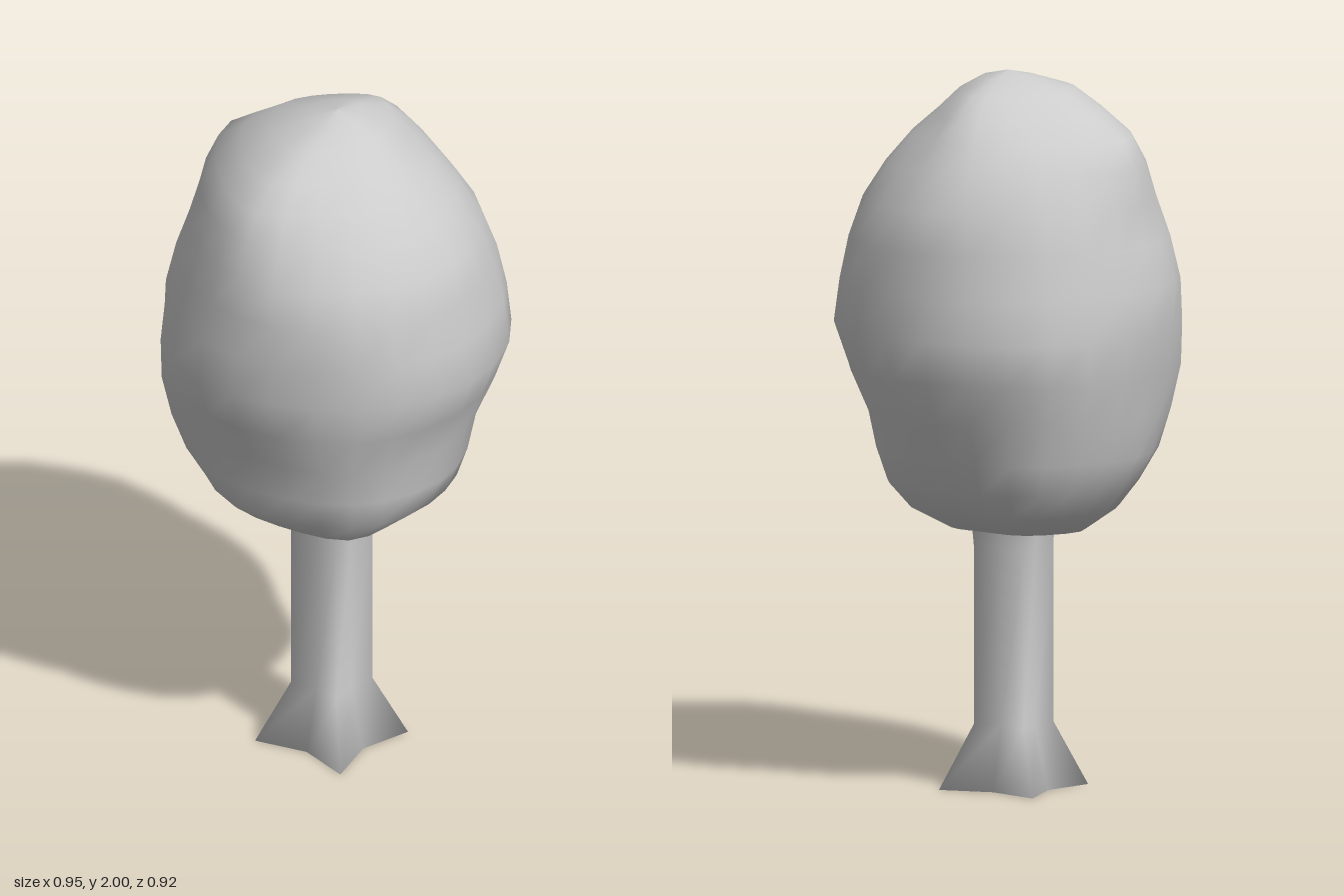
import * as THREE from 'three';

// Smooth closed skin through rings of points, listed from bottom to top
function loft(rings) {
  const n = rings[0].length;
  const index = [];
  for (let i = 0; i < rings.length - 1; i++) {
    for (let j = 0; j < n; j++) {
      const k = (j + 1) % n;
      const a = i * n + j, b = i * n + k;
      index.push(a, a + n, b, b, a + n, b + n);
    }
  }
  const geometry = new THREE.BufferGeometry();
  geometry.setFromPoints(rings.flat());
  geometry.setIndex(index);
  geometry.computeVertexNormals();
  return geometry;
}

// Ring of points at height y, one per radius, starting at +x and turning towards +z
function ring(y, radii, cx = 0, cz = 0) {
  return radii.map((r, j) => {
    const a = (j / radii.length) * Math.PI * 2;
    return new THREE.Vector3(cx + Math.cos(a) * r, y, cz + Math.sin(a) * r);
  });
}

// Trunk: four ridges on the diagonals, flaring into roots
function trunkGeometry() {
  const star = (y, ridge, groove) =>
    ring(y, [groove, ridge, groove, ridge, groove, ridge, groove, ridge], -0.015, 0.005);
  return loft([
    star(0, 0, 0),
    star(0, 0.212, 0.11),
    star(0.18, 0.113, 0.07),
    star(0.68, 0.113, 0.07),
    star(0.75, 0.12, 0.08),
  ]);
}

// Crown: height, then reach in eight directions from +x turning towards +z
const CROWN = [
  [0.73, 0.15, 0.17, 0.14, 0.2, 0.23, 0.2, 0.14, 0.16],
  [0.79, 0.235, 0.28, 0.255, 0.31, 0.305, 0.31, 0.235, 0.27],
  [0.86, 0.325, 0.34, 0.335, 0.365, 0.36, 0.36, 0.295, 0.33],
  [0.95, 0.365, 0.365, 0.36, 0.415, 0.41, 0.4, 0.34, 0.36],
  [1.06, 0.37, 0.39, 0.37, 0.45, 0.425, 0.42, 0.39, 0.395],
  [1.18, 0.42, 0.43, 0.43, 0.48, 0.455, 0.47, 0.435, 0.445],
  [1.3, 0.475, 0.45, 0.46, 0.49, 0.46, 0.485, 0.455, 0.475],
  [1.42, 0.45, 0.455, 0.45, 0.475, 0.475, 0.455, 0.435, 0.465],
  [1.54, 0.43, 0.455, 0.445, 0.445, 0.44, 0.44, 0.435, 0.445],
  [1.65, 0.405, 0.415, 0.43, 0.405, 0.415, 0.405, 0.42, 0.4],
  [1.75, 0.335, 0.35, 0.395, 0.375, 0.4, 0.365, 0.365, 0.335],
  [1.83, 0.27, 0.285, 0.355, 0.33, 0.365, 0.305, 0.315, 0.265],
  [1.89, 0.2, 0.21, 0.285, 0.265, 0.28, 0.24, 0.265, 0.195],
  [1.95, 0.13, 0.14, 0.19, 0.185, 0.19, 0.17, 0.195, 0.14],
  [1.985, 0.07, 0.065, 0.07, 0.075, 0.08, 0.08, 0.09, 0.07],
];

function crownGeometry() {
  const n = 24;
  const rings = CROWN.map(([y, ...reach]) => {
    const outline = new THREE.CatmullRomCurve3(ring(y, reach), true, 'catmullrom', 0.5);
    return Array.from({ length: n }, (_, j) => {
      const p = outline.getPoint(j / n);
      // Small leafy lumps
      const lump = 1.008 + 0.012 * Math.sin((j / n) * Math.PI * 10 + 2) * Math.sin(13 * y);
      return new THREE.Vector3(p.x * lump, y, p.z * lump);
    });
  });
  const pole = (y) => ring(y, Array(n).fill(0));
  return loft([pole(0.71), ...rings, pole(2)]);
}

export function createModel() {
  const tree = new THREE.Group();
  tree.name = 'tree';
  const material = new THREE.MeshStandardMaterial({ color: 0xcccccc });
  const parts = { trunk: trunkGeometry(), crown: crownGeometry() };
  for (const [name, geometry] of Object.entries(parts)) {
    const mesh = new THREE.Mesh(geometry, material);
    mesh.name = name;
    tree.add(mesh);
  }
  return tree;
}
